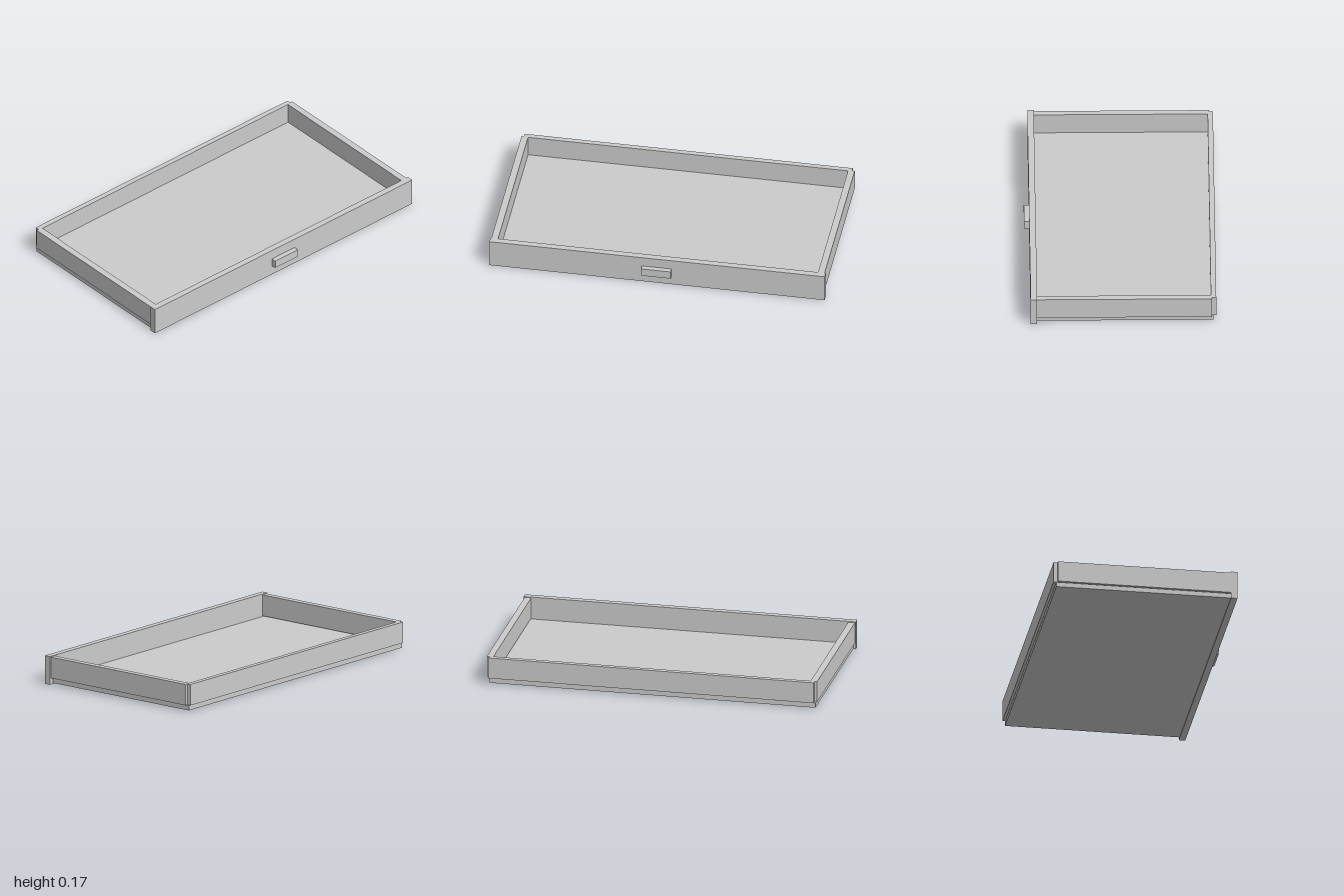
import * as THREE from 'three';

export function createModel() {
  const model = new THREE.Group();
  model.name = 'drawer';
  const material = new THREE.MeshStandardMaterial({ color: 0xcccccc, flatShading: true });

  // Box given by its lower and upper limits on each axis
  function board(name, [x0, x1], [y0, y1], [z0, z1]) {
    const mesh = new THREE.Mesh(new THREE.BoxGeometry(x1 - x0, y1 - y0, z1 - z0), material);
    mesh.position.set((x0 + x1) / 2, (y0 + y1) / 2, (z0 + z1) / 2);
    mesh.name = name;
    model.add(mesh);
  }

  const wallHeight = [0.039, 0.166];

  // Front panel and its pull
  board('frontPanel', [-1, 1], [0, 0.171], [0.492, 0.53]);
  board('handle', [-0.09, 0.087], [0.062, 0.111], [0.53, 0.56]);

  // Walls of the tray
  board('leftWall', [0.953, 0.992], wallHeight, [-0.536, 0.492]);
  board('rightWall', [-0.995, -0.955], wallHeight, [-0.536, 0.492]);
  board('backWall', [-0.98, 0.976], wallHeight, [-0.56, -0.529]);

  // Bottom board, hung a narrow gap below the walls
  board('bottomBoard', [-0.987, 0.973], [0.006, 0.0345], [-0.545, 0.492]);

  return model;
}
